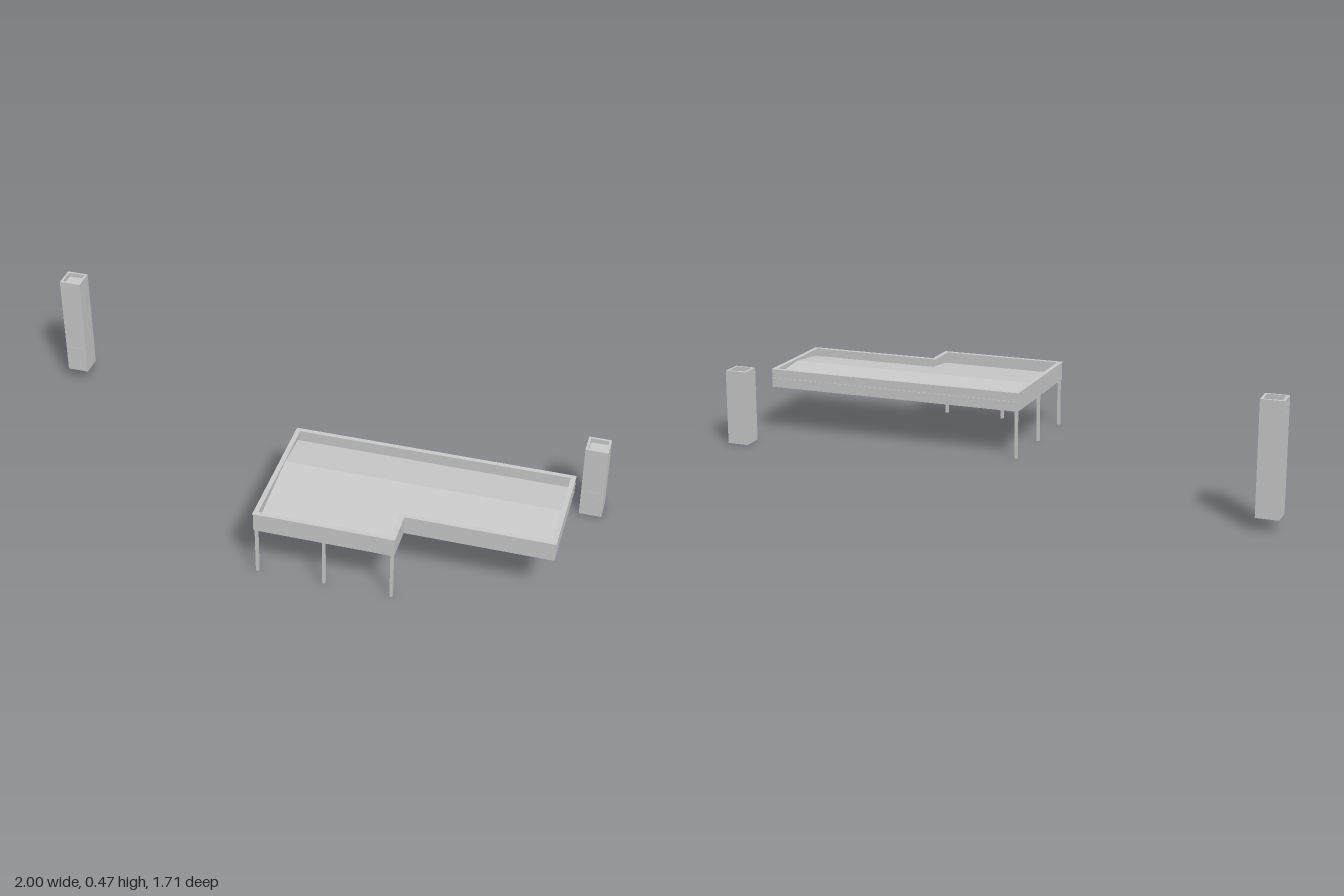
import * as THREE from 'three';

const TURN = -0.417; // whole site is turned about 24 degrees
const L = 1.06, STEP = 0.52, DEEP = 0.537, SHALLOW = 0.404;
const grey = new THREE.MeshStandardMaterial({ color: 0xcccccc, flatShading: true });

function add(parent, name, geometry, x = 0, y = 0, z = 0) {
  const mesh = new THREE.Mesh(geometry, grey);
  mesh.name = name;
  mesh.position.set(x, y, z);
  parent.add(mesh);
  return mesh;
}
const box = (w, h, d) => new THREE.BoxGeometry(w, h, d);

// L-shaped plan, moved inwards by t
const plan = t => [[t, t], [L - t, t], [L - t, SHALLOW - t], [STEP - t, SHALLOW - t],
  [STEP - t, DEEP - t], [t, DEEP - t]].map(p => new THREE.Vector2(...p));

// Slab or ring of the plan between two heights
function planSolid(outer, inner, bottom, top) {
  const shape = new THREE.Shape(plan(outer));
  if (inner !== null) shape.holes.push(new THREE.Path(plan(inner)));
  const g = new THREE.ExtrudeGeometry(shape, { depth: top - bottom, bevelEnabled: false });
  return g.rotateX(Math.PI / 2).translate(0, top, 0);
}

// Low-pitched roof section running along x
function pitchedRoof(x0, x1, z0, z1) {
  const ridge = 0.2, height = z => 0.254 - 0.1 * Math.abs(z - ridge);
  const shape = new THREE.Shape([[z0, 0.21], [z0, height(z0)], [ridge, height(ridge)],
    [z1, height(z1)], [z1, 0.21]].map(([z, y]) => new THREE.Vector2(-z, y)));
  const g = new THREE.ExtrudeGeometry(shape, { depth: x1 - x0, bevelEnabled: false });
  return g.rotateY(Math.PI / 2).translate(x0, 0, 0);
}

function makeCanopy() {
  const canopy = new THREE.Group();
  canopy.name = 'canopy';
  add(canopy, 'fascia', planSolid(0.002, 0.016, 0.19, 0.26));
  add(canopy, 'parapetCap', planSolid(0, 0.018, 0.26, 0.264));
  add(canopy, 'deck', planSolid(0.015, null, 0.203, 0.215));
  add(canopy, 'deepRoof', pitchedRoof(0.016, STEP - 0.016, 0.04, DEEP - 0.04));
  add(canopy, 'shallowRoof', pitchedRoof(STEP - 0.016, L - 0.016, 0.04, SHALLOW - 0.04));
  // Thin joint strip on the back fascia
  add(canopy, 'fasciaStrip', box(L, 0.004, 0.004), L / 2, 0.227, 0.002);
  // Posts along the open end and the deep front edge
  const e = 0.011;
  for (const [x, z] of [[e, e], [e, DEEP / 2], [e, DEEP - e], [STEP / 2, DEEP - e], [STEP - e, DEEP - e]])
    add(canopy, 'post', box(0.011, 0.205, 0.011), x, 0.1025, z);
  canopy.position.set(-0.14, 0, 0.05);
  canopy.rotation.y = TURN;
  return canopy;
}

function makeTower(name, height) {
  const tower = new THREE.Group(), s = 0.085, rim = 0.009, sink = 0.018;
  tower.name = name;
  add(tower, 'shaft', box(s, height - sink, s), 0, (height - sink) / 2, 0);
  // Open rim around the sunken top
  for (const k of [-1, 1]) {
    add(tower, 'rimSide', box(rim, sink, s), k * (s - rim) / 2, height - sink / 2, 0);
    add(tower, 'rimEnd', box(s - 2 * rim, sink, rim), 0, height - sink / 2, k * (s - rim) / 2);
  }
  // Door on the front
  add(tower, 'door', box(0.058, 0.11, 0.002), 0.008, 0.056, s / 2);
  add(tower, 'doorHandle', box(0.003, 0.036, 0.003), 0.026, 0.058, s / 2 + 0.002);
  // Vents on one side and a narrow strip on the other
  for (let i = -1; i <= 1; i++)
    add(tower, 'vent', box(0.002, 0.004, 0.012), -s / 2, height - 0.05, i * 0.02);
  add(tower, 'sideStrip', box(0.002, 0.1, 0.004), s / 2, height - 0.11, 0.022);
  tower.rotation.y = TURN;
  return tower;
}

export function createModel() {
  const model = new THREE.Group();
  model.name = 'canopyWithTowers';
  const tall = makeTower('tallTower', 0.42);
  tall.position.set(-0.943, 0.05, -0.803);
  const short = makeTower('shortTower', 0.298);
  short.position.set(0.942, 0, 0.351);
  model.add(makeCanopy(), tall, short);
  return model;
}
